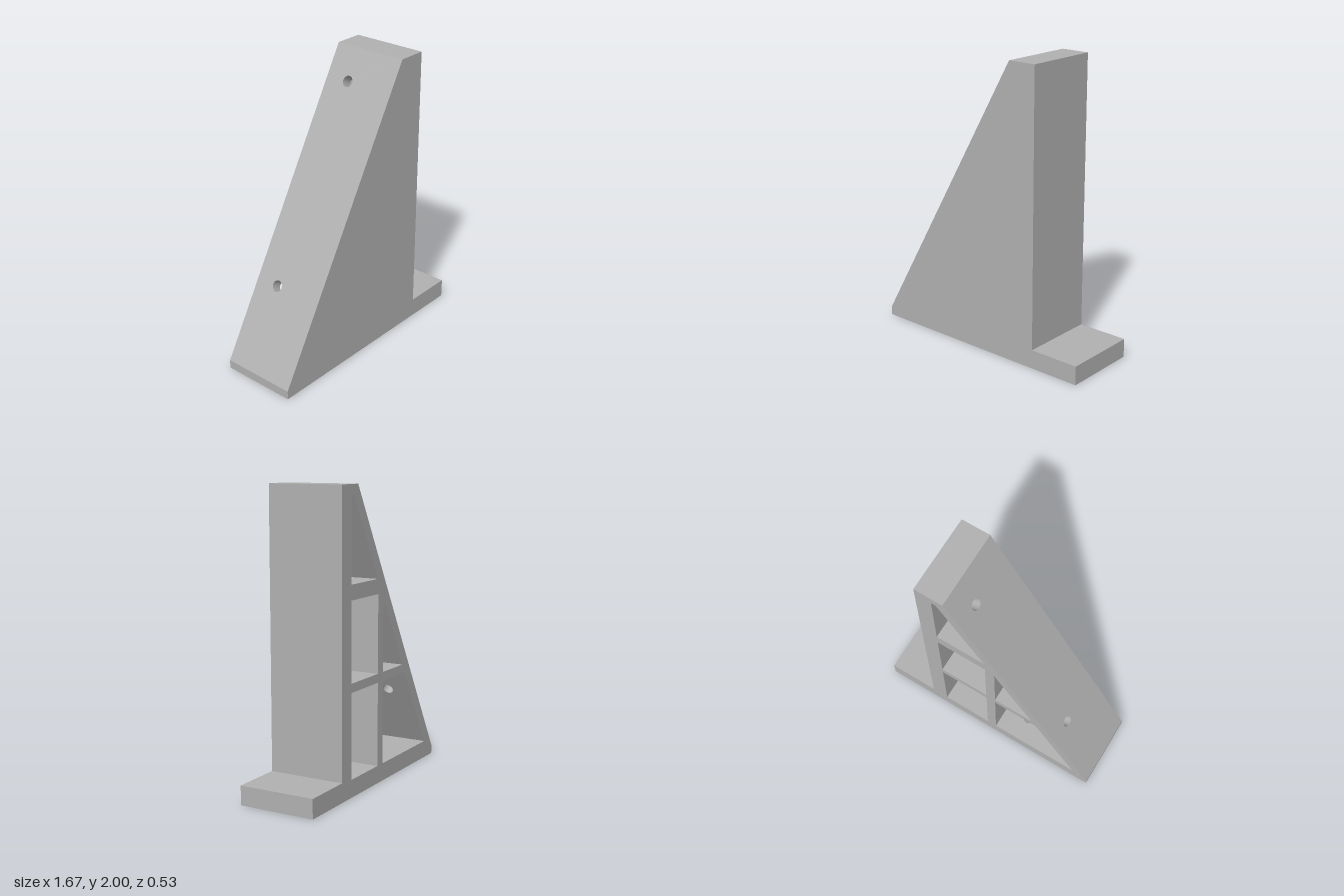
import * as THREE from 'three';
import { mergeGeometries } from 'three/addons/utils/BufferGeometryUtils.js';

const BACK = -0.265, POCKET_FLOOR = 0.24, FRONT = 0.265;
const BORE_Z = -0.09, BORE_R = 0.038;
const V = (x, y) => new THREE.Vector2(x, y);

// Side outline, counter-clockwise from the front
const outline = [V(-0.835, 0), V(0.835, 0), V(0.835, 0.13), V(0.48, 0.13),
  V(0.48, 2), V(0.28, 2), V(-0.835, 0.06)];

// Line of the inner side of the sloping wall
const slope = (2 - 0.06) / (0.28 + 0.835), offset = 0.088;
const innerX = (y) => -0.835 + offset + (y - 0.06) / slope;
const innerY = (x) => 0.06 + (x + 0.835 - offset) * slope;

// Pockets open at the back, clockwise so that their walls face inwards
const xa = 0.363, xb = 0.008, xc = -0.062;
const box = (y0, y1) => [V(xa, y0), V(xb, y0), V(xb, y1), V(xa, y1)];
const pockets = {
  upperTrianglePocket: [V(xa, 1.38), V(innerX(1.38), 1.38), V(innerX(1.935), 1.935), V(xa, 1.935)],
  middleSquarePocket: box(0.75, 1.28),
  lowerSquarePocket: box(0.12, 0.69),
  middleTrianglePocket: [V(xc, 0.75), V(innerX(0.75), 0.75), V(xc, innerY(xc))],
  lowerSlopedPocket: [V(xc, 0.12), V(innerX(0.12), 0.12), V(innerX(0.69), 0.69), V(xc, 0.69)],
};

// Screw bores through the sloping wall and the base
const inward = V(slope, -1).normalize();
const wall = offset * inward.x;
const makeBore = (from, dir, length) => ({ from, to: from.clone().addScaledVector(dir, length) });
const onSlope = (x) => V(x, 0.06 + (x + 0.835) * slope);
const bores = [
  makeBore(onSlope(-0.54), inward, wall),
  makeBore(onSlope(0.165), inward, wall),
  makeBore(V(-0.24, 0), V(0, 1), 0.12),
];

// Flat face across z, facing forwards or backwards
function face(points, z, holes = [], backwards = false) {
  const shape = new THREE.Shape(points);
  shape.holes = holes.map((h) => new THREE.Path(h));
  const g = new THREE.ShapeGeometry(shape);
  if (backwards) {
    g.index.array.reverse();
    g.computeVertexNormals();
  }
  return g.translate(0, 0, z);
}

// One wall panel per edge of a closed loop, pierced where a bore meets it
function walls(loop, z0, z1) {
  return loop.map((a, i) => {
    const b = loop[(i + 1) % loop.length];
    const dir = b.clone().sub(a), length = dir.length();
    dir.normalize();
    const panel = new THREE.Shape([V(0, z0), V(length, z0), V(length, z1), V(0, z1)]);
    for (const p of bores.flatMap((bore) => [bore.from, bore.to])) {
      const rel = p.clone().sub(a), u = rel.dot(dir);
      if (Math.abs(rel.cross(dir)) < 1e-4 && u > BORE_R && u < length - BORE_R) {
        panel.holes.push(new THREE.Path().absarc(u, BORE_Z, BORE_R, 0, Math.PI * 2, true));
      }
    }
    const basis = new THREE.Matrix4().makeBasis(
      new THREE.Vector3(dir.x, dir.y, 0),
      new THREE.Vector3(0, 0, 1),
      new THREE.Vector3(dir.y, -dir.x, 0));
    return new THREE.ShapeGeometry(panel, 16).applyMatrix4(basis.setPosition(a.x, a.y, 0));
  });
}

export function createModel() {
  const group = new THREE.Group();
  const grey = new THREE.MeshStandardMaterial({ color: 0xb0b0b0 });
  grey.name = 'grey';
  const boreGrey = grey.clone();
  boreGrey.side = THREE.DoubleSide;

  const add = (name, geometry, material = grey) => {
    const mesh = new THREE.Mesh(geometry, material);
    mesh.name = name;
    group.add(mesh);
    return mesh;
  };

  // Outer shell
  add('frontFace', face(outline, FRONT));
  add('backFrame', face(outline, BACK, Object.values(pockets), true));
  add('outerWalls', mergeGeometries(walls(outline, BACK, FRONT)));

  // Pocket walls and floors
  for (const [name, loop] of Object.entries(pockets)) {
    add(name, mergeGeometries([...walls(loop, BACK, POCKET_FLOOR), face(loop, POCKET_FLOOR, [], true)]));
  }

  // Bore linings
  for (const { from, to } of bores) {
    const dir = to.clone().sub(from);
    const lining = new THREE.CylinderGeometry(BORE_R, BORE_R, dir.length(), 32, 1, true);
    const mesh = add('screwBore', lining, boreGrey);
    mesh.position.set((from.x + to.x) / 2, (from.y + to.y) / 2, BORE_Z);
    mesh.rotation.z = Math.atan2(dir.y, dir.x) - Math.PI / 2;
  }
  return group;
}
